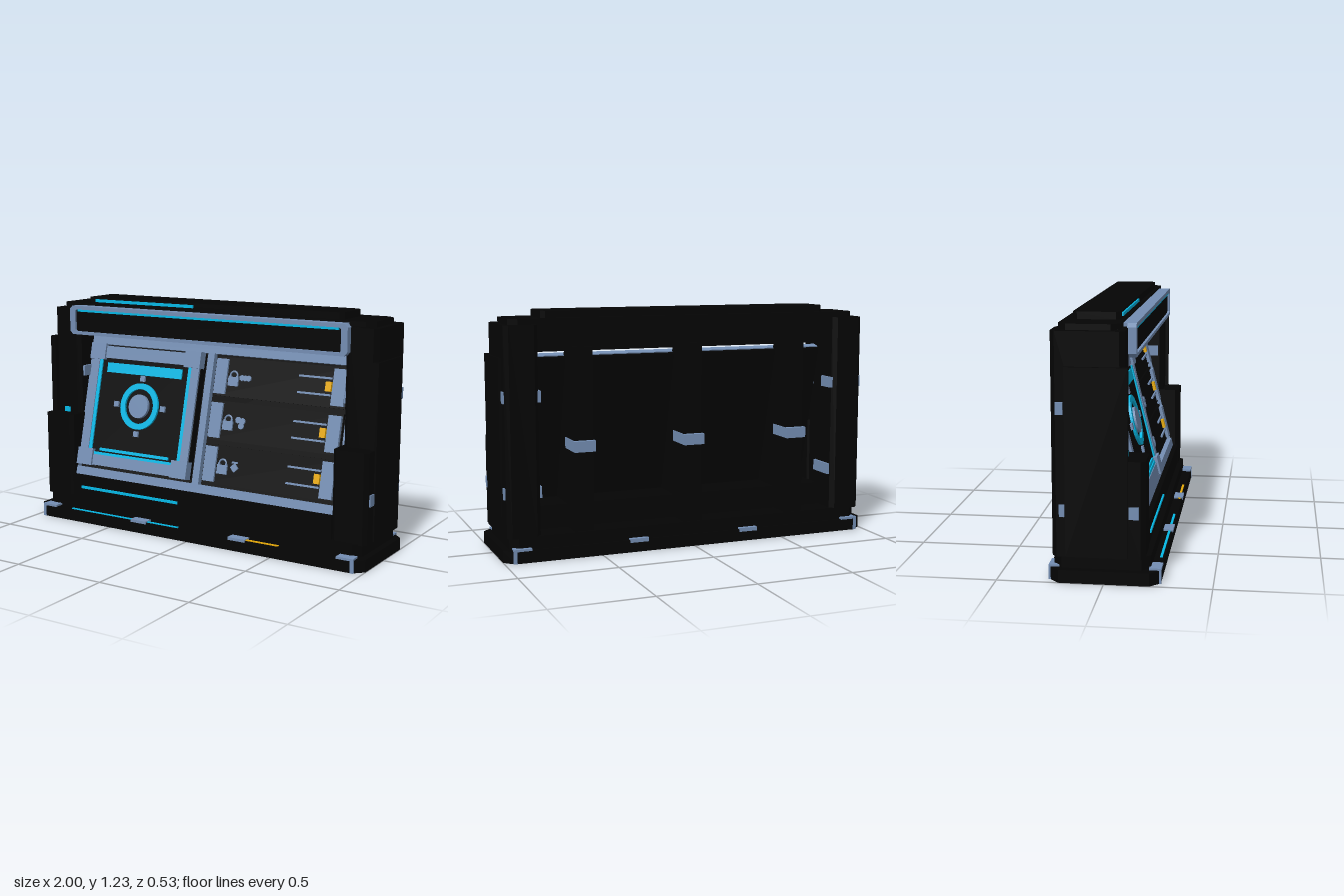
import * as THREE from 'three';

const mat = (name, color) => {
  const m = new THREE.MeshStandardMaterial({ color });
  m.name = name;
  return m;
};

export function createModel() {
  const dark = mat('charcoal', 0x040404);
  const steel = mat('steel blue', 0x748eb3);
  const cyan = mat('cyan light', 0x04b8e6);
  const amber = mat('amber', 0xe8aa06);
  const model = new THREE.Group();
  model.name = 'armouredCabinet';

  const add = (parent, name, geo, m) => {
    const mesh = new THREE.Mesh(geo, m);
    mesh.name = name;
    parent.add(mesh);
    return mesh;
  };
  // Box given by its limits on each axis
  const box = (parent, name, m, x0, x1, y0, y1, z0, z1) => {
    const mesh = add(parent, name, new THREE.BoxGeometry(x1 - x0, y1 - y0, z1 - z0), m);
    mesh.position.set((x0 + x1) / 2, (y0 + y1) / 2, (z0 + z1) / 2);
    return mesh;
  };
  // Rectangle with cut corners
  const cutRect = (x0, x1, y0, y1, c, Type = THREE.Shape) => new Type([
    [x0 + c, y0], [x1 - c, y0], [x1, y0 + c], [x1, y1 - c],
    [x1 - c, y1], [x0 + c, y1], [x0, y1 - c], [x0, y0 + c],
  ].map(([x, y]) => new THREE.Vector2(x, y)));
  const extrude = (shape, depth) => new THREE.ExtrudeGeometry(shape, { depth, bevelEnabled: false, curveSegments: 20 });
  // Upright slab with cut corners in plan
  const slab = (parent, name, x0, x1, y0, y1, z0, z1, c) => {
    const geo = extrude(cutRect(x0, x1, -z1, -z0, c), y1 - y0).rotateX(-Math.PI / 2).translate(0, y0, 0);
    return add(parent, name, geo, dark);
  };

  // Plinth, lower casing and top
  slab(model, 'plinth', -1, 1, 0, 0.062, -0.26, 0.26, 0.05);
  slab(model, 'plinthStep', -0.965, 0.965, 0.062, 0.125, -0.24, 0.212, 0.04);
  box(model, 'lowerCasing', dark, -0.8, 0.8, 0.12, 0.243, -0.1, 0.185);
  slab(model, 'topBeam', -0.92, 0.92, 1.03, 1.165, -0.21, 0.09, 0.03);
  slab(model, 'topSlab', -0.945, 0.945, 1.15, 1.19, -0.213, 0.07, 0.04);
  slab(model, 'topCap', -0.775, 0.775, 1.19, 1.225, -0.17, 0.05, 0.02);

  // Light strips on the casing
  box(model, 'topLight', cyan, -0.72, -0.085, 1.2, 1.216, 0.049, 0.058);
  box(model, 'casingLight', cyan, -0.74, -0.1, 0.172, 0.186, 0.184, 0.193);
  box(model, 'plinthLight', cyan, -0.765, -0.06, 0.06, 0.067, 0.238, 0.25);
  box(model, 'plinthAmberStrip', amber, 0.25, 0.54, 0.06, 0.067, 0.238, 0.25);

  // Header frame
  const header = new THREE.Group();
  header.name = 'header';
  model.add(header);
  const rim = cutRect(-0.84, 0.84, 1.025, 1.182, 0.018);
  rim.holes.push(cutRect(-0.805, 0.805, 1.042, 1.162, 0.008, THREE.Path));
  add(header, 'headerFrame', extrude(rim, 0.042), steel).position.z = 0.09;
  box(header, 'headerLip', steel, -0.82, 0.82, 1.165, 1.181, 0.068, 0.095);
  box(header, 'headerPanel', dark, -0.815, 0.815, 1.035, 1.17, 0.08, 0.119);
  box(header, 'headerLight', cyan, -0.79, 0.79, 1.15, 1.161, 0.118, 0.127);

  // Side columns with pads and clips, mirrored by position
  for (const s of [1, -1]) {
    const column = new THREE.Group();
    column.name = s > 0 ? 'leftColumn' : 'rightColumn';
    model.add(column);
    const lim = (a, b) => (s > 0 ? [a, b] : [-b, -a]);
    slab(column, 'column', ...lim(0.81, 0.98), 0.12, 1.162, -0.241, 0.095, 0.022);
    slab(column, 'lowerPad', ...lim(0.8, 0.988), 0.12, 0.578, 0, 0.19, 0.02);
    box(column, 'sidePlate', dark, ...lim(0.965, 0.997), 0.125, 1.003, -0.175, 0.112);
    for (const [y0, y1, z0, z1, x] of [[0.785, 0.842, -0.218, -0.183, 0.987], [0.31, 0.368, -0.205, -0.18, 0.987], [0.31, 0.368, 0.115, 0.162, 0.994]])
      box(column, 'sideClip', steel, ...lim(0.96, x), y0, y1, z0, z1);
    box(column, 'innerClip', steel, ...lim(0.798, 0.82), 0.785, 0.842, -0.225, -0.13);
    box(column, 'innerClip', steel, ...lim(0.798, 0.82), 0.31, 0.368, -0.215, -0.06);
    box(column, 'innerClip', steel, ...lim(0.798, 0.82), 0.785, 0.842, -0.025, 0.065);
    // Corner guards on the plinth
    for (const t of [1, -1]) {
      const zl = (a, b) => (t > 0 ? [a, b] : [-b, -a]);
      box(column, 'cornerGuardTop', steel, ...lim(0.865, 0.955), 0.06, 0.072, ...zl(0.205, 0.262));
      box(column, 'cornerGuardPost', steel, ...lim(0.94, 0.958), 0, 0.072, ...zl(0.245, 0.262));
    }
  }
  box(model, 'columnLamp', cyan, -0.917, -0.88, 0.578, 0.606, 0.094, 0.103);

  // Small plinth clips
  for (const x of [-0.305, 0.305]) {
    box(model, 'frontPlinthClip', steel, x - 0.05, x + 0.05, 0.055, 0.07, 0.213, 0.263);
    box(model, 'rearPlinthClip', steel, x - 0.05, x + 0.05, 0.05, 0.07, -0.264, -0.238);
  }

  // Rear ribs with wrapped bands
  const ribShape = new THREE.Shape([[-0.225, 0.12], [-0.225, 1.05], [-0.08, 1.05], [0.11, 0.26], [0.11, 0.12]]
    .map(([z, y]) => new THREE.Vector2(-z, y)));
  for (const x of [-0.585, 0, 0.585]) {
    const rib = add(model, 'rearRib', extrude(ribShape, 0.1).rotateY(Math.PI / 2), dark);
    rib.position.x = x - 0.05;
    box(model, 'ribBand', steel, x - 0.055, x + 0.055, 0.53, 0.585, -0.252, -0.09);
  }

  // Sloping front panel; local z = 0 is its face, heights are measured from its foot
  const foot = 0.24;
  const front = new THREE.Group();
  front.name = 'slopingFront';
  front.position.set(0, foot, 0.148);
  front.rotation.x = -0.245;
  front.scale.y = 1.03;
  model.add(front);
  const plate = (name, m, x0, x1, y0, y1, z0, z1) => box(front, name, m, x0, x1, y0 - foot, y1 - foot, z0, z1);
  plate('panel', dark, -0.798, 0.798, 0.245, 1.0, -0.05, -0.02);
  plate('topRail', steel, -0.803, 0.803, 0.957, 1.005, -0.03, 0.01);
  plate('bottomRail', steel, -0.803, 0.803, 0.24, 0.283, -0.03, 0.012);
  plate('divider', steel, -0.037, 0.003, 0.28, 0.96, -0.03, 0.01);
  for (const s of [-1, 1]) plate('edgeRail', steel, s * 0.8 - 0.005, s * 0.8 + 0.005, 0.28, 0.96, -0.03, 0.005);

  // Door with frame, corner blocks and lights
  plate('doorLeaf', dark, -0.77, -0.06, 0.3, 0.95, -0.03, 0.026);
  plate('doorSide', steel, -0.77, -0.72, 0.33, 0.92, 0, 0.038);
  plate('doorSide', steel, -0.112, -0.064, 0.33, 0.92, 0, 0.038);
  plate('doorTop', steel, -0.74, -0.09, 0.882, 0.947, 0, 0.038);
  plate('doorBottom', steel, -0.74, -0.09, 0.302, 0.36, 0, 0.038);
  for (const x of [-0.78, -0.157]) {
    plate('doorCorner', steel, x, x + 0.1, 0.872, 0.958, 0, 0.049);
    plate('doorCorner', steel, x, x + 0.1, 0.298, 0.388, 0, 0.049);
  }
  plate('doorLight', cyan, -0.721, -0.7, 0.36, 0.88, 0.025, 0.034);
  plate('doorLight', cyan, -0.134, -0.111, 0.36, 0.88, 0.025, 0.034);
  plate('doorLight', cyan, -0.7, -0.13, 0.36, 0.374, 0.025, 0.034);
  plate('doorLight', cyan, -0.663, -0.171, 0.807, 0.859, 0.025, 0.034);
  plate('doorLight', cyan, -0.645, -0.19, 0.382, 0.398, 0.025, 0.034);

  // Round dial on the door
  const cx = -0.417, cy = 0.642;
  const ring = new THREE.Shape().absarc(0, 0, 0.123, 0, Math.PI * 2);
  ring.holes.push(new THREE.Path().absarc(0, 0, 0.092, 0, Math.PI * 2));
  add(front, 'dialRing', extrude(ring, 0.014), cyan).position.set(cx, cy - foot, 0.025);
  const hub = add(front, 'dialHub', new THREE.CylinderGeometry(0.063, 0.063, 0.025, 24).rotateX(Math.PI / 2), steel);
  hub.position.set(cx, cy - foot, 0.032);
  for (const [dx, dy] of [[0.153, 0], [-0.153, 0], [0, 0.147], [0, -0.147]])
    plate('dialStud', steel, cx + dx - 0.015, cx + dx + 0.015, cy + dy - 0.015, cy + dy + 0.015, 0.025, 0.038);

  // Three drawers with end blocks, padlock, symbol, handle lines and tab
  const dot = (x, y, r, sides) => {
    const d = add(front, 'drawerSymbol', new THREE.CylinderGeometry(r, r, 0.009, sides).rotateX(Math.PI / 2), steel);
    d.position.set(x, y - foot, -0.002);
  };
  [0.847, 0.622, 0.398].forEach((y, i) => {
    plate('drawerFace', dark, 0.02, 0.78, y - 0.1, y + 0.1, -0.03, -0.006);
    plate('drawerEnd', steel, 0.02, 0.09, y - 0.09, y + 0.09, -0.02, 0.006);
    plate('drawerEnd', steel, 0.705, 0.775, y - 0.09, y + 0.09, -0.02, 0.012);
    plate('padlockBody', steel, 0.1, 0.16, y - 0.045, y + 0.002, -0.007, 0.004);
    const shackle = add(front, 'padlockShackle', new THREE.TorusGeometry(0.021, 0.005, 6, 16, Math.PI), steel);
    shackle.position.set(0.13, y + 0.009 - foot, -0.002);
    for (const s of [-1, 1]) {
      plate('padlockLeg', steel, 0.13 + s * 0.021 - 0.005, 0.13 + s * 0.021 + 0.005, y, y + 0.01, -0.007, 0.003);
      plate('handleLine', steel, 0.51, 0.695, y + s * 0.041 - 0.005, y + s * 0.041 + 0.005, -0.007, 0.004);
    }
    plate('drawerTab', amber, 0.665, 0.697, y - 0.024, y + 0.024, -0.007, 0.01);
    if (i === 0) for (const x of [0.18, 0.2, 0.22]) dot(x, y, 0.016, 6);
    if (i === 1) for (const [dx, dy] of [[0.19, 0.012], [0.215, 0.008], [0.21, -0.016]]) dot(dx, y + dy, 0.017, 8);
    if (i === 2) {
      dot(0.202, y - 0.005, 0.024, 4);
      plate('drawerSymbol', steel, 0.185, 0.219, y + 0.016, y + 0.026, -0.007, 0.002);
    }
  });

  return model;
}
